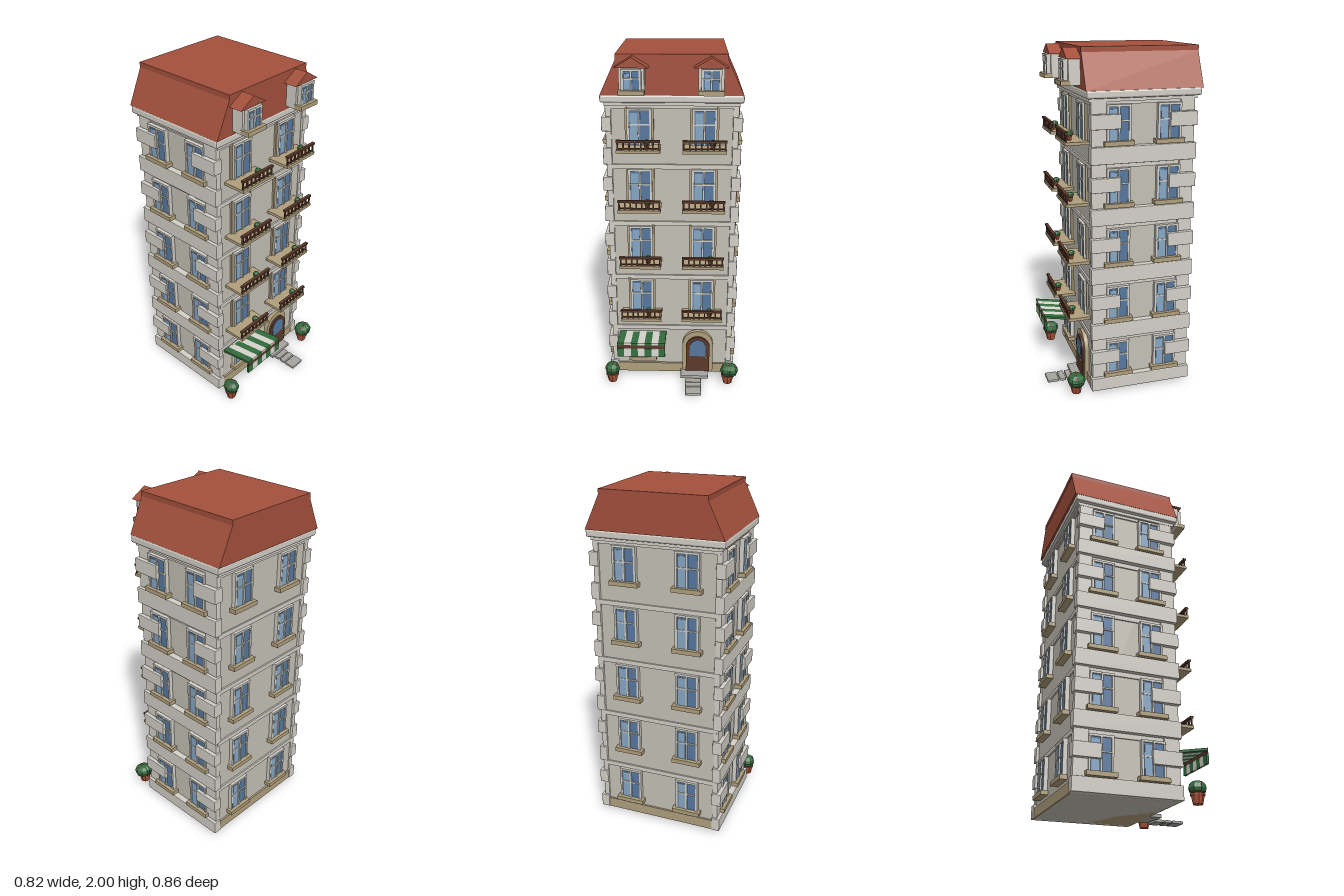
import * as THREE from 'three';
import { RoundedBoxGeometry } from 'three/addons/geometries/RoundedBoxGeometry.js';

const mat = (color, extra = {}) => new THREE.MeshStandardMaterial({ color, flatShading: true, ...extra });
const M = {
  wall: mat(0xc4c0b6), trim: mat(0xd2cfc6), stone: mat(0xb09f7c), roof: mat(0xa3503c),
  glass: mat(0x56789f), pane: mat(0x86a6c4), wood: mat(0x5c3a2b), green: mat(0x35703f),
  white: mat(0xdedcd4), clay: mat(0xa8533b), leaf: mat(0x35693c), pink: mat(0xd0587c), paving: mat(0xa6a49e),
};

function add(parent, name, geometry, material) {
  const mesh = new THREE.Mesh(geometry, material);
  mesh.name = name;
  parent.add(mesh);
  return mesh;
}

// Box given by its minimum and maximum on each axis
function box(parent, name, m, x0, x1, y0, y1, z0, z1, round = 0) {
  const s = [x1 - x0, y1 - y0, z1 - z0];
  const g = round ? new RoundedBoxGeometry(...s, 1, round) : new THREE.BoxGeometry(...s);
  const mesh = add(parent, name, g, m);
  mesh.position.set((x0 + x1) / 2, (y0 + y1) / 2, (z0 + z1) / 2);
  return mesh;
}

function group(parent, name, x, y, z, turn = 0) {
  const g = new THREE.Group();
  g.name = name;
  g.position.set(x, y, z);
  g.rotation.y = turn;
  parent.add(g);
  return g;
}

function extrude(parent, name, shape, m, z0, depth) {
  const mesh = add(parent, name, new THREE.ExtrudeGeometry(shape, { depth, bevelEnabled: false, curveSegments: 8 }), m);
  mesh.position.z = z0;
  return mesh;
}

const polygon = pts => new THREE.Shape(pts.map(p => new THREE.Vector2(...p)));

// Round-headed outline
function arch(r, y0, spring, Type = THREE.Shape) {
  const s = new Type();
  s.moveTo(-r, y0);
  s.lineTo(r, y0);
  s.lineTo(r, spring);
  s.absarc(0, spring, r, 0, Math.PI, false);
  s.lineTo(-r, y0);
  return s;
}

// Two-leaf window facing +z, standing on the local origin
function windowUnit(parent, x, y, z, turn = 0, w = 0.125, h = 0.2, sill = true) {
  const g = group(parent, 'window', x, y, z, turn), a = w / 2;
  box(g, 'glass', M.glass, -a, a, 0, h, -0.01, 0.018);
  box(g, 'lightPane', M.pane, -a + 0.012, -0.008, 0.01, h - 0.02, 0.01, 0.021);
  for (const s of [-1, 1]) box(g, 'frameSide', M.trim, s * a - 0.006, s * a + 0.006, 0, h, 0, 0.024);
  box(g, 'frameTop', M.trim, -a - 0.006, a + 0.006, h - 0.008, h + 0.005, 0, 0.026);
  box(g, 'mullion', M.trim, -0.005, 0.005, 0, h, 0, 0.027);
  box(g, 'glazingBar', M.trim, -a, a, h * 0.56, h * 0.56 + 0.008, 0, 0.025);
  if (sill) box(g, 'sill', M.stone, -a - 0.022, a + 0.022, -0.015, 0.01, -0.01, 0.042);
  return g;
}

// Clay pot with a leafy bush and a few blossoms, unit size
function pottedPlant(parent, x, y, z, s, twin = 0, flowers = true) {
  const g = group(parent, 'pottedPlant', x, y, z);
  g.scale.setScalar(s);
  add(g, 'pot', new THREE.CylinderGeometry(0.8, 0.58, 1.1, 10), M.clay).position.y = 0.55;
  add(g, 'potRim', new THREE.CylinderGeometry(0.88, 0.86, 0.25, 10), M.clay).position.y = 1.1;
  for (const dx of twin ? [0, twin] : [0]) {
    const bush = add(g, 'bush', new THREE.SphereGeometry(1, 8, 6), M.leaf);
    bush.position.set(dx, 1.85, 0);
    bush.scale.set(1, 0.9, 1.15);
    if (!flowers) continue;
    for (const f of [-0.6, 0, 0.6]) {
      add(g, 'blossom', new THREE.IcosahedronGeometry(0.2, 0), M.pink).position.set(dx + f, 2.6 - Math.abs(f) * 0.4, 0.1);
    }
  }
}

// Slab, front railing and small plant under a front window
function balcony(parent, x, y) {
  const g = group(parent, 'balcony', x, y, 0);
  box(g, 'slab', M.stone, -0.12, 0.12, -0.017, 0, 0.18, 0.325);
  box(g, 'topRail', M.wood, -0.12, 0.12, 0.044, 0.056, 0.307, 0.325);
  box(g, 'bottomRail', M.wood, -0.115, 0.115, 0.006, 0.012, 0.312, 0.32);
  for (let i = 0; i < 8; i++) {
    const bx = -0.112 + i * 0.032;
    box(g, 'baluster', M.wood, bx - 0.004, bx + 0.004, 0, 0.046, 0.312, 0.32);
  }
  pottedPlant(g, 0.045, 0, 0.283, 0.019, 0, false);
}

function dormer(parent, x) {
  const g = group(parent, 'dormer', x, 0, 0);
  box(g, 'dormerBody', M.trim, -0.068, 0.068, 1.8, 1.945, 0.18, 0.295);
  windowUnit(g, 0, 1.815, 0.295, 0, 0.095, 0.115);
  extrude(g, 'dormerRoof', polygon([[-0.092, 1.938], [0.092, 1.938], [0, 1.993]]), M.roof, 0.185, 0.125);
}

function awning(parent) {
  const g = group(parent, 'awning', 0, 0, 0);
  const n = 7, w = 0.285 / n;
  for (let i = 0; i < n; i++) {
    const m = i % 2 ? M.white : M.green, x = -0.32 + i * w;
    const strip = extrude(g, 'awningStrip', polygon([[-0.19, 0.288], [-0.395, 0.327], [-0.395, 0.341], [-0.19, 0.303]]), m, 0, w);
    strip.rotation.y = Math.PI / 2;
    strip.position.x = x;
    box(g, 'valanceStrip', m, x, x + w, 0.25, 0.305, 0.382, 0.396);
  }
  box(g, 'awningBar', M.wood, -0.32, -0.035, 0.303, 0.328, 0.386, 0.394);
}

function door(parent) {
  const g = group(parent, 'door', 0.16, 0, 0);
  const ring = arch(0.094, 0.03, 0.224);
  ring.holes.push(arch(0.07, 0.03, 0.214, THREE.Path));
  extrude(g, 'doorSurround', ring, M.stone, 0.18, 0.035);
  extrude(g, 'doorLeaf', arch(0.073, 0.04, 0.21), M.wood, 0.18, 0.046);
  extrude(g, 'doorGlass', arch(0.049, 0.15, 0.215), M.glass, 0.22, 0.009);
  add(g, 'doorKnob', new THREE.SphereGeometry(0.007, 8, 6), M.stone).position.set(0.052, 0.14, 0.23);
  box(g, 'doorstep', M.paving, -0.105, 0.065, 0.02, 0.042, 0.18, 0.28, 0.005);
  for (const [a, b] of [[0.25, 0.31], [0.315, 0.355], [0.36, 0.43]])
    box(g, 'pavingSlab', M.paving, -0.075, 0.022, 0, 0.018, a, b, 0.006);
}

export function createModel() {
  const model = new THREE.Group();
  model.name = 'townhouse';

  box(model, 'walls', M.wall, -0.348, 0.348, 0.02, 1.74, -0.385, 0.19);
  box(model, 'plinth', M.stone, -0.356, 0.356, 0.02, 0.08, -0.396, 0.202);

  const wallZ = 0.19, backZ = -0.385;
  for (let i = 0; i < 5; i++) {
    const top = 0.35 + i * 0.345, sillY = top - 0.23;
    box(model, 'storeyBand', M.trim, -0.356, 0.356, top - 0.027, top, -0.394, 0.2);

    // Corner stones: short and long courses, the lowest running the whole side
    for (const s of [-1, 1]) {
      const course = (name, out, y0, y1, z0, z1) => {
        const a = s * 0.335, b = s * out;
        box(model, name, M.trim, Math.min(a, b), Math.max(a, b), Math.max(y0, 0.02), y1, z0, z1, 0.004);
      };
      for (const [a, b] of [[0.075, 0], [0.25, 0.155]]) {
        course('shortCornerStone', 0.368, top - a, top - b, 0.11, 0.198);
        course('shortCornerStone', 0.368, top - a, top - b, -0.393, -0.31);
      }
      course('longCornerStone', 0.39, top - 0.155, top - 0.075, 0.035, 0.206);
      course('longCornerStone', 0.39, top - 0.155, top - 0.075, -0.402, -0.245);
      course('sideCourse', 0.385, top - 0.345, top - 0.25, -0.402, 0.206);

      // Side and back windows
      for (const z of [0.045, -0.245]) windowUnit(model, s * 0.352, sillY, z, s * Math.PI / 2);
      windowUnit(model, s * 0.18, sillY, backZ, Math.PI);

      // Front windows with balconies above the ground floor
      if (i > 0) {
        windowUnit(model, s * 0.18, sillY, wallZ, 0, 0.125, 0.2, false);
        for (const e of [-1, 1]) {
          const c = s * 0.18 + e * 0.073;
          box(model, 'windowSurround', M.stone, c - 0.007, c + 0.007, sillY, sillY + 0.21, 0.18, 0.202);
        }
        balcony(model, s * 0.18, sillY);
      }
    }
  }

  // Ground floor front
  windowUnit(model, -0.18, 0.13, wallZ, 0, 0.125, 0.17);
  awning(model);
  door(model);
  pottedPlant(model, -0.365, 0.012, 0.293, 0.046);
  pottedPlant(model, 0.345, 0.012, 0.293, 0.046, 0.4);

  // Cornice and mansard roof
  box(model, 'corniceStep', M.trim, -0.37, 0.37, 1.72, 1.745, -0.405, 0.212);
  box(model, 'cornice', M.trim, -0.392, 0.392, 1.738, 1.782, -0.423, 0.228, 0.01);
  extrude(model, 'mansardRoof', polygon([[-0.39, 1.78], [0.39, 1.78], [0.3, 1.972], [-0.3, 1.972]]), M.roof, -0.43, 0.66);
  box(model, 'roofCap', M.roof, -0.3, 0.3, 1.97, 2, -0.432, 0.232);
  for (const s of [-1, 1]) dormer(model, s * 0.21);

  return model;
}
